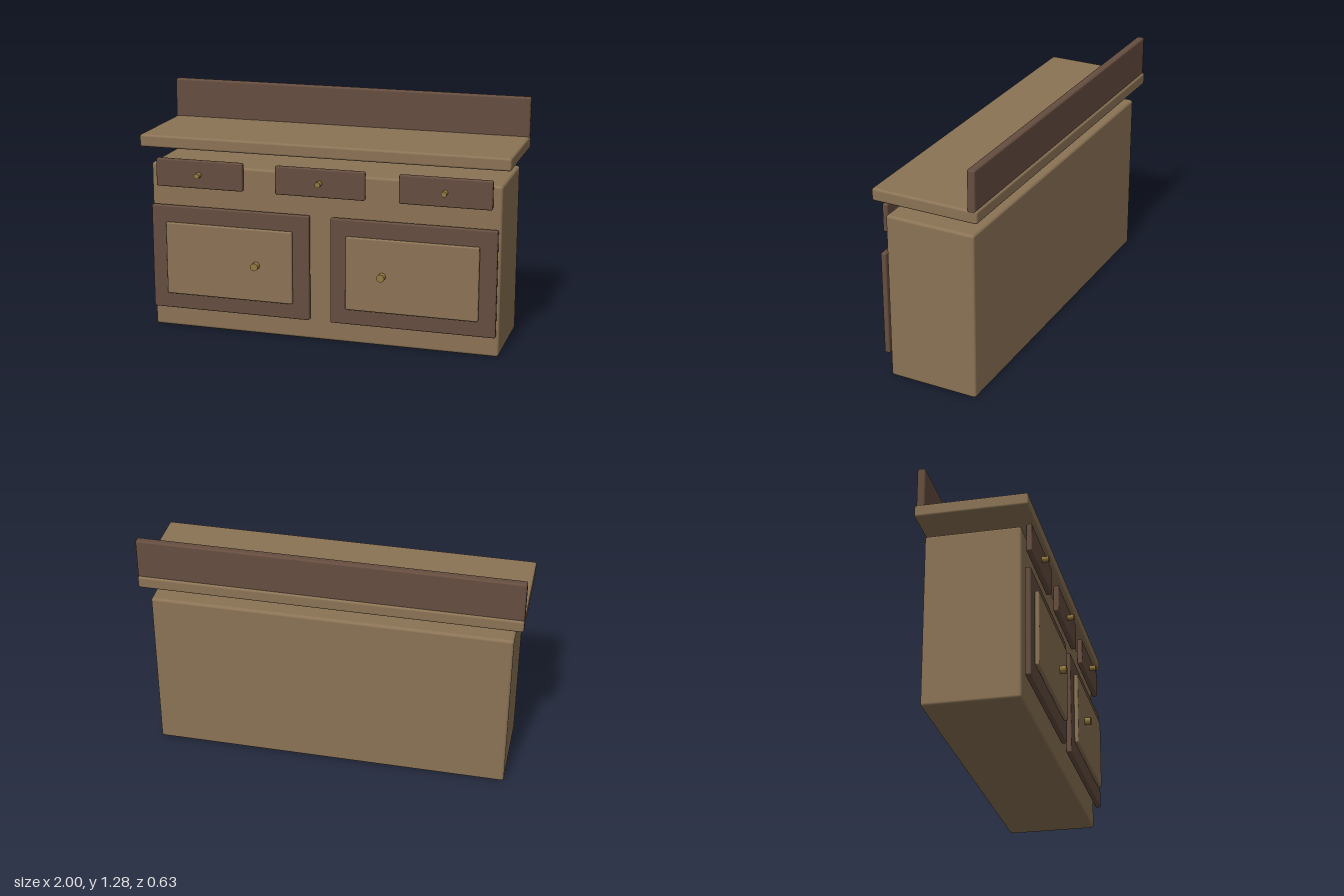
import * as THREE from 'three';
import { RoundedBoxGeometry } from 'three/addons/geometries/RoundedBoxGeometry.js';

const lightWood = new THREE.MeshStandardMaterial({ color: 0x8b7355 });
const darkWood = new THREE.MeshStandardMaterial({ color: 0x654d3f });
const brass = new THREE.MeshStandardMaterial({ color: 0x94793f });

// Rounded slab given by its extents on each axis
function slab(name, [x0, x1], [y0, y1], [z0, z1], radius, material) {
  const geometry = new RoundedBoxGeometry(x1 - x0, y1 - y0, z1 - z0, 3, radius);
  const mesh = new THREE.Mesh(geometry, material);
  mesh.position.set((x0 + x1) / 2, (y0 + y1) / 2, (z0 + z1) / 2);
  mesh.name = name;
  return mesh;
}

// Short cylinder pointing forward
function knob(name, x, y, z0, z1, radius) {
  const geometry = new THREE.CylinderGeometry(radius, radius, z1 - z0, 12).rotateX(Math.PI / 2);
  const mesh = new THREE.Mesh(geometry, brass);
  mesh.position.set(x, y, (z0 + z1) / 2);
  mesh.name = name;
  return mesh;
}

export function createModel() {
  const model = new THREE.Group();
  model.name = 'sideboard';

  // Carcass, floating worktop and upright back board
  model.add(
    slab('cabinetBody', [-0.953, 0.953], [0, 0.913], [-0.271, 0.217], 0.015, lightWood),
    slab('worktop', [-1, 1], [1.003, 1.07], [-0.316, 0.261], 0.012, lightWood),
    slab('backBoard', [-1, 1], [1.057, 1.28], [-0.306, -0.264], 0.01, darkWood),
  );

  // Three drawers
  for (const x of [-0.667, 0, 0.667]) {
    const drawer = new THREE.Group();
    drawer.name = 'drawer';
    drawer.add(
      slab('drawerFront', [x - 0.243, x + 0.243], [0.795, 0.947], [0.231, 0.261], 0.008, darkWood),
      knob('drawerKnob', x, 0.871, 0.255, 0.297, 0.015),
    );
    model.add(drawer);
  }

  // Two doors with raised panels, knobs toward the middle
  for (const side of [-1, 1]) {
    const x = side * 0.5;
    const door = new THREE.Group();
    door.name = side > 0 ? 'leftDoor' : 'rightDoor';
    door.add(
      slab('doorFrame', [x - 0.442, x + 0.442], [0.117, 0.69], [0.231, 0.261], 0.008, darkWood),
      slab('doorPanel', [x - 0.354, x + 0.354], [0.205, 0.602], [0.261, 0.284], 0.008, lightWood),
      knob('doorKnob', side * 0.345, 0.404, 0.275, 0.318, 0.021),
    );
    model.add(door);
  }
  return model;
}
